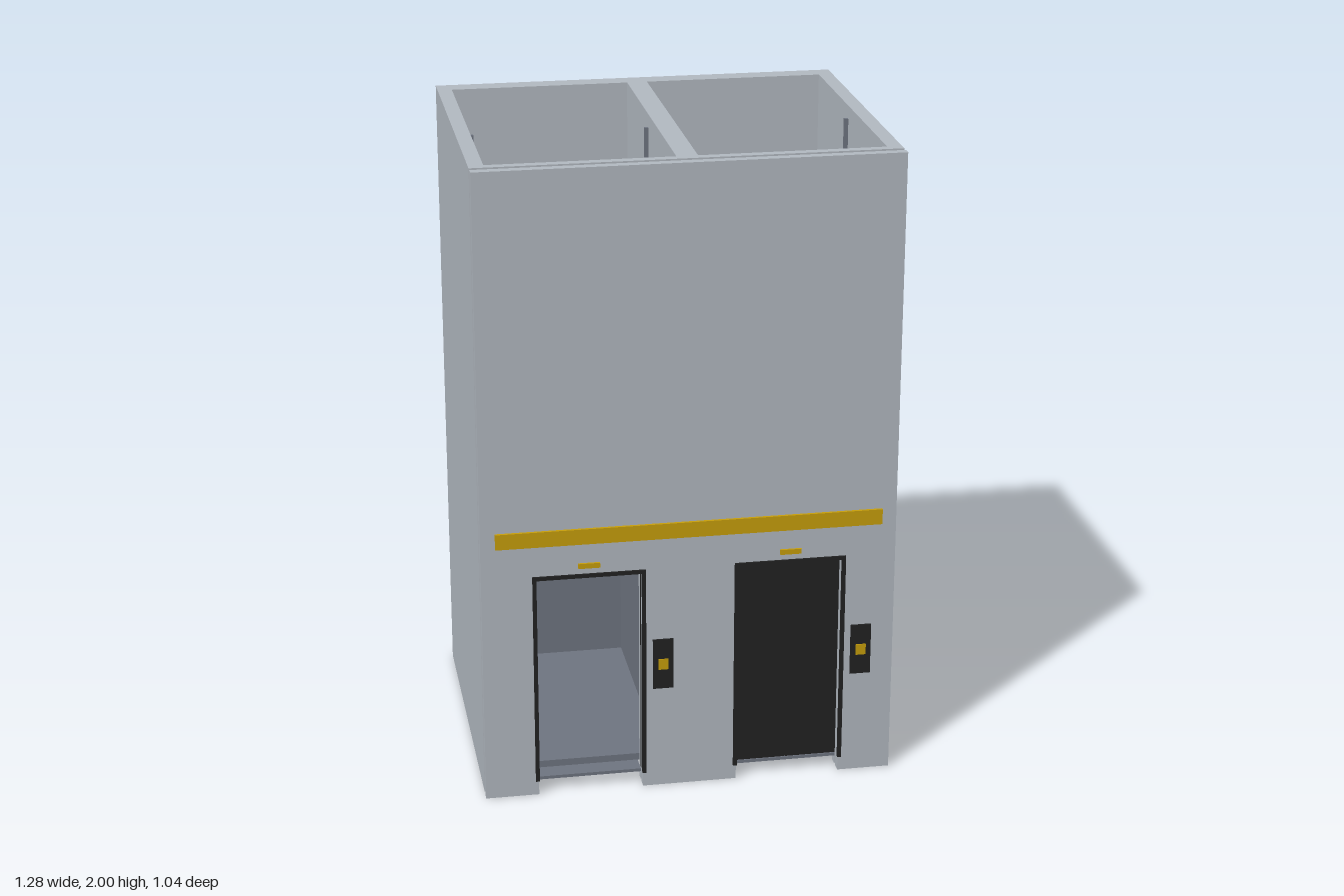
import * as THREE from 'three';

const mat = (name, color) => {
  const m = new THREE.MeshStandardMaterial({ color });
  m.name = name;
  return m;
};

export function createModel() {
  const model = new THREE.Group();
  model.name = 'elevatorShafts';
  const concrete = mat('paleGreyConcrete', 0xb4bbc3);
  const steel = mat('slateSteel', 0x707682);
  const black = mat('blackMetal', 0x222222);
  const yellow = mat('signalYellow', 0xc9a00c);

  // Box given by its lower and upper limits on each axis
  const box = (name, material, x0, x1, y0, y1, z0, z1, parent = model) => {
    const m = new THREE.Mesh(new THREE.BoxGeometry(x1 - x0, y1 - y0, z1 - z0), material);
    m.position.set((x0 + x1) / 2, (y0 + y1) / 2, (z0 + z1) / 2);
    m.name = name;
    parent.add(m);
    return m;
  };

  const W = 0.638, H = 2;
  const doors = [-0.31, 0.31];
  const doorHalf = 0.163, doorTop = 0.73, sillTop = 0.047;

  // Shaft walls and divider
  box('leftShaftWall', concrete, -W, -0.593, 0, H, -0.52, 0.464);
  box('rightShaftWall', concrete, 0.593, W, 0, H, -0.52, 0.464);
  box('backWall', concrete, -0.593, 0.593, 0, H, -0.52, -0.458);
  box('divider', concrete, -0.033, 0.031, 0, H, -0.458, 0.437);

  // Front panel with a doorway notch for each shaft
  const frontPanel = (name, halfWidth, z0, z1) => {
    const s = new THREE.Shape();
    s.moveTo(-halfWidth, 0);
    for (const x of doors) {
      s.lineTo(x - doorHalf, 0);
      s.lineTo(x - doorHalf, doorTop);
      s.lineTo(x + doorHalf, doorTop);
      s.lineTo(x + doorHalf, 0);
    }
    s.lineTo(halfWidth, 0);
    s.lineTo(halfWidth, H);
    s.lineTo(-halfWidth, H);
    const geo = new THREE.ExtrudeGeometry(s, { depth: z1 - z0, bevelEnabled: false });
    const m = new THREE.Mesh(geo, concrete);
    m.position.z = z0;
    m.name = name;
    model.add(m);
  };
  frontPanel('innerFrontWall', 0.593, 0.437, 0.464);
  frontPanel('facade', W, 0.482, 0.509);

  // Guide rails
  for (const x of [-0.58, -0.046, 0.043, 0.577])
    box('guideRail', steel, x - 0.006, x + 0.006, 0.02, 1.97, -0.016, -0.004);

  // Open-fronted car in the left shaft
  const car = new THREE.Group();
  car.name = 'car';
  model.add(car);
  const [cx0, cx1, cz0, cz1, t, carTop] = [-0.57, -0.058, -0.41, 0.374, 0.015, 0.8];
  box('carFloor', steel, cx0, cx1, 0.02, 0.043, cz0, cz1, car);
  box('carRoof', steel, cx0, cx1, carTop - t, carTop, cz0, cz1, car);
  box('carBack', steel, cx0, cx1, 0.043, carTop - t, cz0, cz0 + t, car);
  box('carLeftWall', steel, cx0, cx0 + t, 0.043, carTop - t, cz0 + t, cz1, car);
  box('carRightWall', steel, cx1 - t, cx1, 0.043, carTop - t, cz0 + t, cz1, car);

  // Doorways: sill, sliding leaves, trim, call panel and indicator
  doors.forEach((x, i) => {
    const g = new THREE.Group();
    g.name = i === 0 ? 'openDoorway' : 'closedDoorway';
    model.add(g);
    const slide = i === 0 ? 0.161 : 0;
    box('sill', steel, x - 0.16, x + 0.16, 0.037, sillTop, 0.423, 0.483, g);
    box('leftLeaf', black, x - 0.161 - slide, x - 0.001 - slide, sillTop, 0.725, 0.468, 0.479, g);
    box('rightLeaf', black, x + 0.001 + slide, x + 0.161 + slide, sillTop, 0.725, 0.468, 0.479, g);
    for (const s of [-1, 1]) {
      const c = x + s * 0.167;
      box('jamb', black, c - 0.006, c + 0.006, sillTop, 0.736, 0.505, 0.515, g);
    }
    box('lintelTrim', black, x - 0.161, x + 0.161, 0.724, 0.736, 0.505, 0.515, g);
    const p = x + 0.226;
    box('callPanel', black, p - 0.032, p + 0.032, 0.335, 0.5, 0.509, 0.515, g);
    box('callButton', yellow, p - 0.016, p + 0.016, 0.4, 0.435, 0.515, 0.518, g);
    box('floorIndicator', yellow, x - 0.033, x + 0.033, 0.755, 0.771, 0.509, 0.516, g);
  });

  // Accent band across the facade
  box('accentBand', yellow, -0.593, 0.593, 0.835, 0.884, 0.509, 0.518);

  return model;
}
